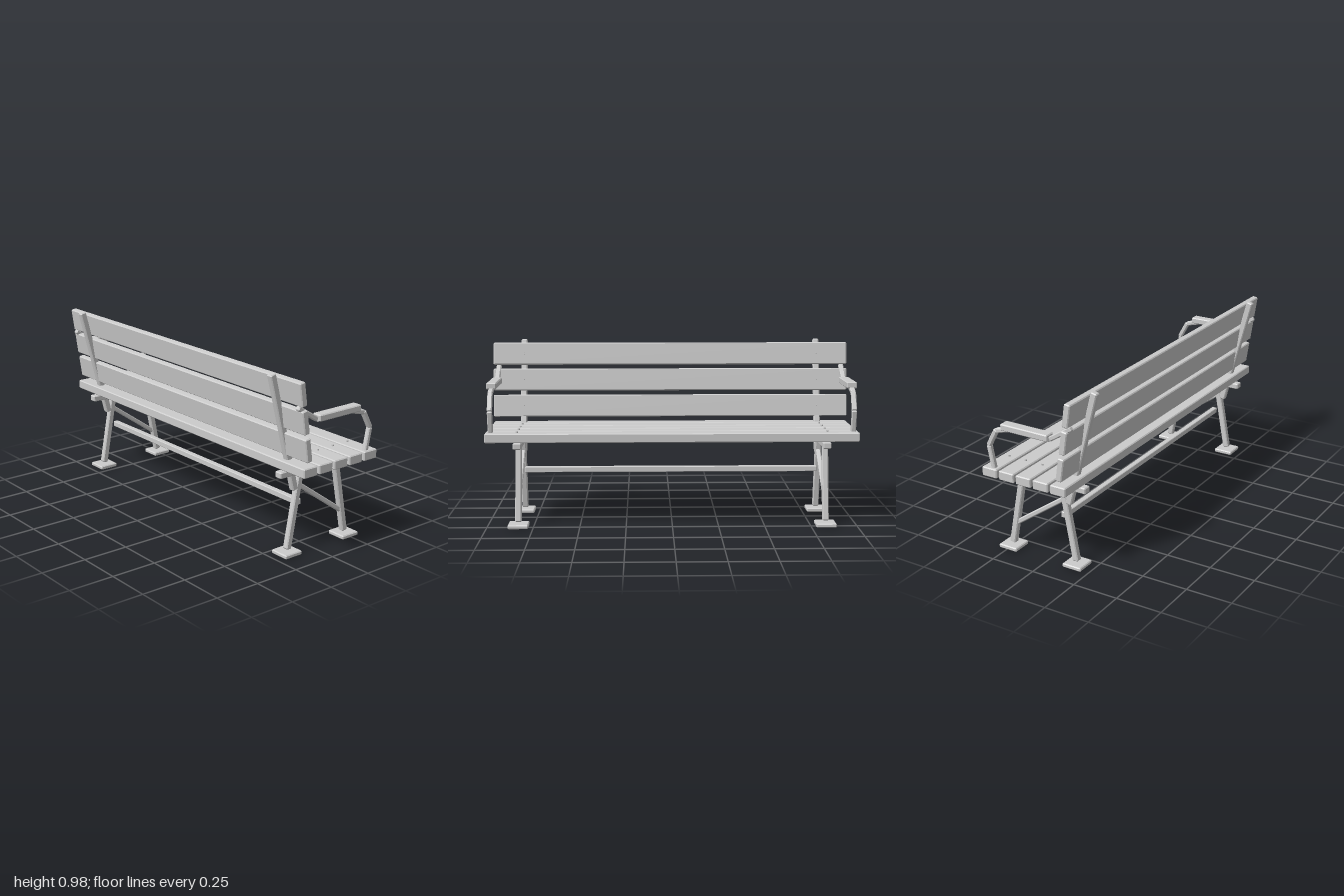
import * as THREE from 'three';
import { ConvexGeometry } from 'three/addons/geometries/ConvexGeometry.js';

const material = new THREE.MeshStandardMaterial({ color: 0xcccccc });

// Box with every edge chamfered by c
function chamferBox(w, h, d, c) {
  const points = [];
  for (const sx of [-1, 1]) for (const sy of [-1, 1]) for (const sz of [-1, 1]) {
    const x = w / 2, y = h / 2, z = d / 2;
    points.push(
      new THREE.Vector3(sx * x, sy * (y - c), sz * (z - c)),
      new THREE.Vector3(sx * (x - c), sy * y, sz * (z - c)),
      new THREE.Vector3(sx * (x - c), sy * (y - c), sz * z));
  }
  return new ConvexGeometry(points);
}

function add(parent, name, geometry, x, y, z, tilt = 0) {
  const mesh = new THREE.Mesh(geometry, material);
  mesh.name = name;
  mesh.position.set(x, y, z);
  mesh.rotation.x = tilt;
  parent.add(mesh);
  return mesh;
}

function block(parent, name, [w, h, d], [x, y, z], tilt = 0, c = 0.005) {
  return add(parent, name, chamferBox(w, h, d, c), x, y, z, tilt);
}

// Straight bar at a given x running between two [z, y] points
function bar(parent, name, x, [z0, y0], [z1, y1], width, thick) {
  const length = Math.hypot(z1 - z0, y1 - y0);
  return block(parent, name, [width, length, thick],
    [x, (y0 + y1) / 2, (z0 + z1) / 2], Math.atan2(z1 - z0, y1 - y0));
}

export function createModel() {
  const bench = new THREE.Group();
  bench.name = 'parkBench';
  const FRAME_X = 0.83, ARM_X = 0.972, BACK_TILT = 0.145;
  const boltGeometry = new THREE.CylinderGeometry(0.006, 0.006, 0.016, 10);

  // Seat planks
  const seatZ = [0.165, 0.062, -0.041, -0.144, -0.247];
  for (const z of seatZ) block(bench, 'seatPlank', [2, 0.05, 0.09], [0, 0.491, z]);

  // Backrest planks
  const backPlanks = [[0.223, 0.897], [0.202, 0.752], [0.18, 0.606]];
  for (const [z, y] of backPlanks) {
    block(bench, 'backPlank', [2, 0.124, 0.035], [0, y, z], BACK_TILT);
  }

  // Crossbar between the two leg frames
  block(bench, 'crossbar', [1.64, 0.031, 0.031], [0, 0.26, 0.073], 0, 0.003);

  for (const side of [-1, 1]) {
    // Leg frame
    const frame = new THREE.Group();
    frame.name = side > 0 ? 'leftFrame' : 'rightFrame';
    bench.add(frame);
    const x = side * FRAME_X;
    block(frame, 'seatSupport', [0.045, 0.034, 0.498], [x, 0.443, -0.021]);
    bar(frame, 'frontLeg', x, [-0.163, 0.435], [-0.239, 0.029], 0.034, 0.034);
    bar(frame, 'rearLeg', x, [0.081, 0.435], [0.157, 0.029], 0.034, 0.034);
    bar(frame, 'brace', x, [0.1, 0.371], [-0.207, 0.152], 0.025, 0.025);
    bar(frame, 'backUpright', x, [0.282, 0.973], [0.119, 0.343], 0.034, 0.035);
    for (const z of [0.157, -0.242]) {
      block(frame, 'foot', [0.11, 0.022, 0.111], [x, 0.011, z]);
    }

    // Bolts through the seat and back planks
    for (const z of seatZ.slice(1)) add(frame, 'seatBolt', boltGeometry, x, 0.516, z);
    for (const [z, y] of backPlanks) {
      add(frame, 'backBolt', boltGeometry, x, y + 0.003, z - 0.021, Math.PI / 2 + BACK_TILT);
    }

    // Armrest: bent bar carrying a wooden pad
    const arm = new THREE.Group();
    arm.name = side > 0 ? 'leftArmrest' : 'rightArmrest';
    bench.add(arm);
    const ax = side * ARM_X;
    bar(arm, 'armRearBar', ax, [0.238, 0.829], [0.112, 0.748], 0.027, 0.025);
    bar(arm, 'armUnderBar', ax, [0.115, 0.747], [-0.115, 0.747], 0.027, 0.025);
    bar(arm, 'armFrontBar', ax, [-0.112, 0.747], [-0.21, 0.722], 0.027, 0.025);
    bar(arm, 'armBendBar', ax, [-0.208, 0.726], [-0.259, 0.63], 0.027, 0.025);
    bar(arm, 'armPost', ax, [-0.257, 0.632], [-0.228, 0.49], 0.027, 0.025);
    block(arm, 'armPad', [0.055, 0.035, 0.28], [ax, 0.756, -0.028]);
  }
  return bench;
}
